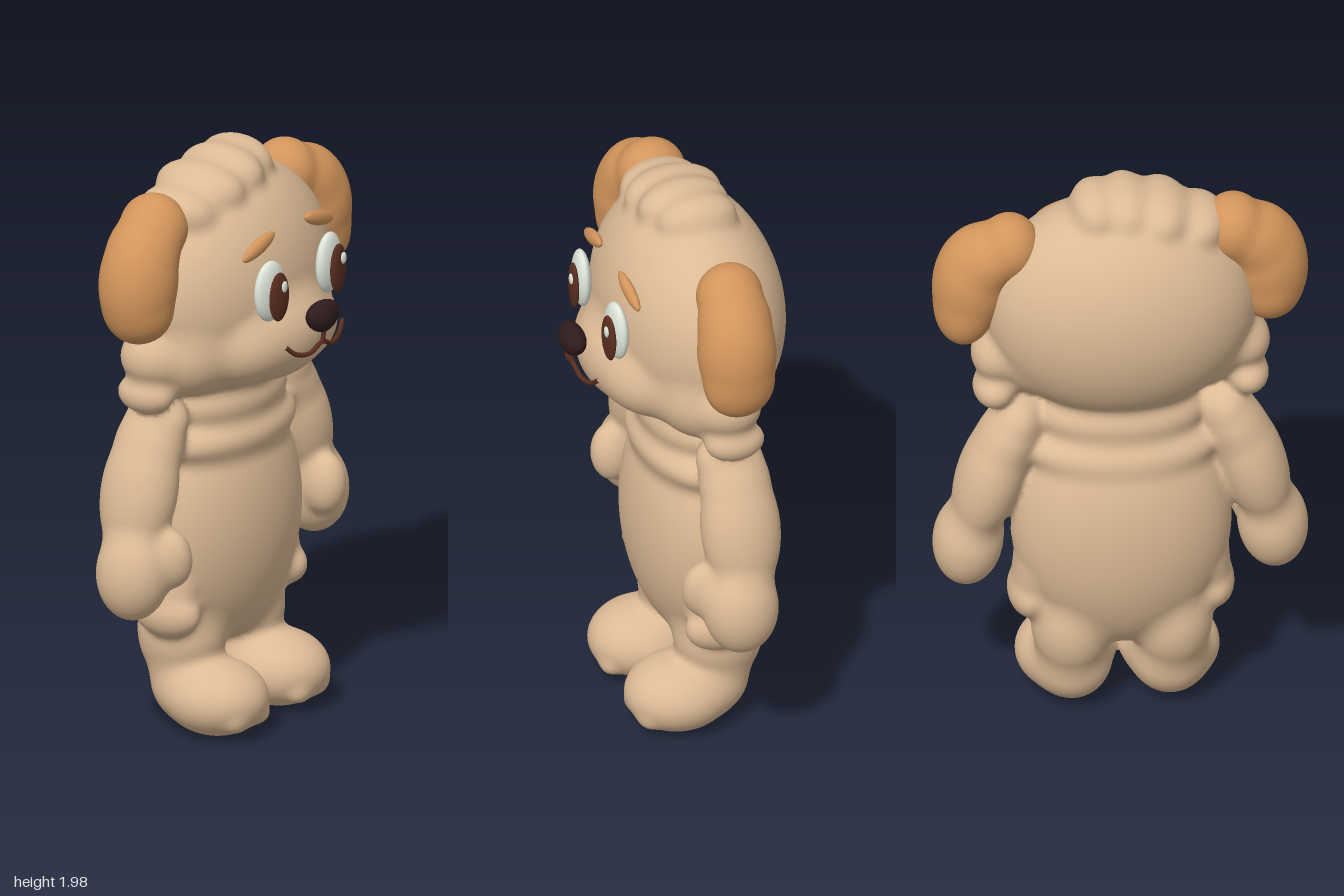
import * as THREE from 'three';

const paint = (name, color) => {
  const m = new THREE.MeshStandardMaterial({ color });
  m.name = name;
  return m;
};
const fur = paint('tan fur', 0xdcba95);
const earFur = paint('caramel fur', 0xd3955b);
const eyeWhite = paint('eye white', 0xdfe6da);
const brown = paint('iris and mouth brown', 0x5a2e20);
const noseDark = paint('nose dark', 0x2f1b1e);

// A blob is [x, y, z, rx, ry, rz, tilt about z]
const mirror = (blobs) => blobs.map(([x, y, z, a, b, c, t = 0]) => [-x, y, z, a, b, c, -t]);
const both = (blobs) => [...blobs, ...mirror(blobs)];

// Smoothly blended distance to a set of ellipsoids
function makeField(blobs, k) {
  const list = blobs.map(([x, y, z, a, b, c, t = 0]) => ({ x, y, z, a, b, c, cos: Math.cos(t), sin: Math.sin(t) }));
  return (x, y, z) => {
    let d = 1e3;
    for (const e of list) {
      const dx = x - e.x, dy = y - e.y;
      const px = (dx * e.cos + dy * e.sin) / e.a;
      const py = (dy * e.cos - dx * e.sin) / e.b;
      const pz = (z - e.z) / e.c;
      const k0 = Math.hypot(px, py, pz);
      const k1 = Math.hypot(px / e.a, py / e.b, pz / e.c) + 1e-9;
      const s = k0 < 1e-6 ? -Math.min(e.a, e.b, e.c) : k0 * (k0 - 1) / k1;
      const h = Math.max(k - Math.abs(d - s), 0) / k;
      d = Math.min(d, s) - h * h * k * 0.25;
    }
    return d;
  };
}

// Skins all blobs as one smooth surface, split into one mesh per named part
function skin(parts, material, k, cell = 0.015) {
  const names = Object.keys(parts);
  const blobs = Object.values(parts).flat();
  const f = makeField(blobs, k);
  const partFields = names.map((name) => makeField(parts[name], k));
  const lo = [0, 1, 2].map((i) => Math.min(...blobs.map((b) => b[i] - Math.max(b[3], b[4], b[5]))) - 0.05);
  const hi = [0, 1, 2].map((i) => Math.max(...blobs.map((b) => b[i] + Math.max(b[3], b[4], b[5]))) + 0.05);
  const n = lo.map((v, i) => Math.ceil((hi[i] - v) / cell) + 1);
  const step = [1, n[0], n[0] * n[1]];
  const val = new Float32Array(n[0] * n[1] * n[2]);
  const each = (from, trim, fn) => {
    for (let z = from; z < n[2] - trim; z++)
      for (let y = from; y < n[1] - trim; y++)
        for (let x = from; x < n[0] - trim; x++) fn(x, y, z, x + y * step[1] + z * step[2]);
  };
  each(0, 0, (x, y, z, i) => { val[i] = f(lo[0] + x * cell, lo[1] + y * cell, lo[2] + z * cell); });

  const gradient = (p) => {
    const e = 0.002;
    return new THREE.Vector3(
      f(p.x + e, p.y, p.z) - f(p.x - e, p.y, p.z),
      f(p.x, p.y + e, p.z) - f(p.x, p.y - e, p.z),
      f(p.x, p.y, p.z + e) - f(p.x, p.y, p.z - e)).normalize();
  };
  const position = [], normal = [], owner = [];
  const index = names.map(() => []);
  const id = new Int32Array(val.length).fill(-1);
  // One vertex per crossed cell, pulled on to the surface
  each(0, 1, (x, y, z, i) => {
    let inside = 0;
    for (let c = 0; c < 8; c++)
      if (val[i + (c & 1) + (c >> 1 & 1) * step[1] + (c >> 2) * step[2]] < 0) inside++;
    if (inside === 0 || inside === 8) return;
    const p = new THREE.Vector3(lo[0] + (x + 0.5) * cell, lo[1] + (y + 0.5) * cell, lo[2] + (z + 0.5) * cell);
    for (let s = 0; s < 3; s++) p.addScaledVector(gradient(p), -f(p.x, p.y, p.z));
    const near = partFields.map((g) => g(p.x, p.y, p.z));
    id[i] = owner.length;
    owner.push(near.indexOf(Math.min(...near)));
    position.push(p.x, p.y, p.z);
    normal.push(...gradient(p).toArray());
  });
  // One quad per crossed grid edge
  each(1, 1, (x, y, z, i) => {
    for (let a = 0; a < 3; a++) {
      const inA = val[i] < 0, inB = val[i + step[a]] < 0;
      if (inA === inB) continue;
      const u = step[(a + 1) % 3], v = step[(a + 2) % 3];
      const q = [id[i - u - v], id[i - v], id[i], id[i - u]];
      if (!inA) q.reverse();
      index[owner[q[0]]].push(q[0], q[1], q[2], q[0], q[2], q[3]);
    }
  });
  const positions = new THREE.Float32BufferAttribute(position, 3);
  const normals = new THREE.Float32BufferAttribute(normal, 3);
  return names.map((name, i) => {
    const g = new THREE.BufferGeometry();
    g.setAttribute('position', positions).setAttribute('normal', normals).setIndex(index[i]);
    const mesh = new THREE.Mesh(g, material);
    mesh.name = name;
    return mesh;
  });
}

function ellipsoid(name, material, [x, y, z], [a, b, c], tilt = 0, turn = 0) {
  const g = new THREE.SphereGeometry(1, 32, 20).scale(a, b, c);
  g.rotateZ(tilt).rotateY(turn).translate(x, y, z);
  const mesh = new THREE.Mesh(g, material);
  mesh.name = name;
  return mesh;
}

function tube(name, points, material) {
  const curve = new THREE.CatmullRomCurve3(points.map((p) => new THREE.Vector3(...p)));
  const mesh = new THREE.Mesh(new THREE.TubeGeometry(curve, 40, 0.008, 8), material);
  mesh.name = name;
  return mesh;
}

export function createModel() {
  const model = new THREE.Group();

  // Skull, muzzle, then cheeks and side curls
  const head = [
    [0, 1.53, -0.07, 0.445, 0.395, 0.3],
    [0, 1.395, 0.09, 0.25, 0.185, 0.212],
    ...both([
      [0.14, 1.37, 0.08, 0.16, 0.14, 0.175],
      [0.26, 1.36, -0.03, 0.18, 0.16, 0.17],
      [0.41, 1.36, -0.07, 0.08, 0.09, 0.1],
      [0.415, 1.235, -0.08, 0.07, 0.065, 0.1],
    ]),
  ];
  // Lopsided topknot
  const topknot = [
    [-0.25, 1.83, -0.07, 0.1, 0.08, 0.135],
    [-0.13, 1.875, -0.065, 0.1, 0.085, 0.16],
    [-0.015, 1.9, -0.06, 0.09, 0.085, 0.15],
    [0.085, 1.905, -0.075, 0.08, 0.08, 0.13],
  ];
  // Belly, chest roll, neck, then shoulder and hip curls
  const torso = [
    [0, 0.7, -0.1, 0.36, 0.45, 0.235],
    [0, 1.01, -0.085, 0.33, 0.11, 0.2],
    [0, 1.13, -0.08, 0.28, 0.13, 0.18],
    ...both([
      [0.335, 1.13, -0.085, 0.075, 0.075, 0.105],
      [0.3, 0.44, -0.08, 0.072, 0.085, 0.125],
      [0.295, 0.53, -0.09, 0.055, 0.075, 0.1],
    ]),
  ];
  // Arms with mitten hands and thumbs
  const arm = [
    [0.365, 1.06, -0.095, 0.09, 0.11, 0.115, 0.3],
    [0.43, 0.9, -0.095, 0.11, 0.24, 0.133, 0.28],
    [0.5, 0.64, -0.07, 0.115, 0.16, 0.125, 0.1],
    [0.43, 0.69, 0.035, 0.06, 0.1, 0.07, -0.1],
  ];
  // Legs with feet and small toe bumps
  const leg = [
    [0.165, 0.33, -0.115, 0.133, 0.19, 0.15],
    [0.16, 0.16, -0.09, 0.125, 0.13, 0.125],
    [0.172, 0.131, 0.025, 0.163, 0.126, 0.18],
    [0.11, 0.078, 0.16, 0.028, 0.022, 0.022],
    [0.23, 0.078, 0.15, 0.028, 0.022, 0.022],
  ];
  model.add(...skin({
    head, topknot, torso,
    leftArm: arm, rightArm: mirror(arm), leftLeg: leg, rightLeg: mirror(leg),
  }, fur, 0.04));

  // Floppy ears, slightly uneven
  model.add(...skin({
    leftEar: [
      [0.49, 1.635, -0.06, 0.125, 0.195, 0.13, 0.12],
      [0.515, 1.52, -0.06, 0.09, 0.11, 0.115],
      [0.365, 1.775, -0.08, 0.1, 0.11, 0.11],
      [0.44, 1.73, -0.07, 0.1, 0.11, 0.12],
    ],
    rightEar: [
      [-0.485, 1.65, -0.06, 0.13, 0.2, 0.13, -0.12],
      [-0.485, 1.545, -0.06, 0.095, 0.1, 0.115],
      [-0.37, 1.8, -0.08, 0.105, 0.115, 0.115],
      [-0.44, 1.75, -0.07, 0.105, 0.11, 0.12],
    ],
  }, earFur, 0.03));

  // Eyes and brows
  const shift = 0.01;
  for (const [side, s] of [['left', 1], ['right', -1]]) {
    model.add(
      ellipsoid(side + 'EyeWhite', eyeWhite, [s * 0.165, 1.585, 0.238], [0.07, 0.104, 0.03], 0, s * 0.1),
      ellipsoid(side + 'Iris', brown, [s * 0.165 + shift, 1.568, 0.268], [0.046, 0.084, 0.015], 0, s * 0.1),
      ellipsoid(side + 'EyeGlint', eyeWhite, [s * 0.165 + 0.022, 1.602, 0.281], [0.015, 0.02, 0.007]),
      ellipsoid(side + 'Brow', earFur, [s * 0.168, 1.73, 0.195], [0.086, 0.026, 0.019], -s * 0.31, s * 0.05));
  }

  // Nose, narrower towards the bottom
  const nose = ellipsoid('nose', noseDark, [0, 0, 0], [0.072, 0.053, 0.042]);
  const p = nose.geometry.attributes.position;
  for (let i = 0; i < p.count; i++) p.setX(i, p.getX(i) * (1 + p.getY(i) * 4));
  nose.geometry.computeVertexNormals();
  nose.position.set(0, 1.468, 0.33);
  model.add(nose);

  // Smiling mouth
  model.add(
    tube('mouth', [
      [-0.16, 1.4, 0.297], [-0.12, 1.366, 0.31], [-0.06, 1.354, 0.322], [0, 1.38, 0.33],
      [0.06, 1.354, 0.322], [0.12, 1.366, 0.31], [0.16, 1.4, 0.297],
    ], brown),
    tube('mouthStem', [[0, 1.43, 0.335], [0, 1.4, 0.334], [0, 1.375, 0.33]], brown));

  return model;
}
